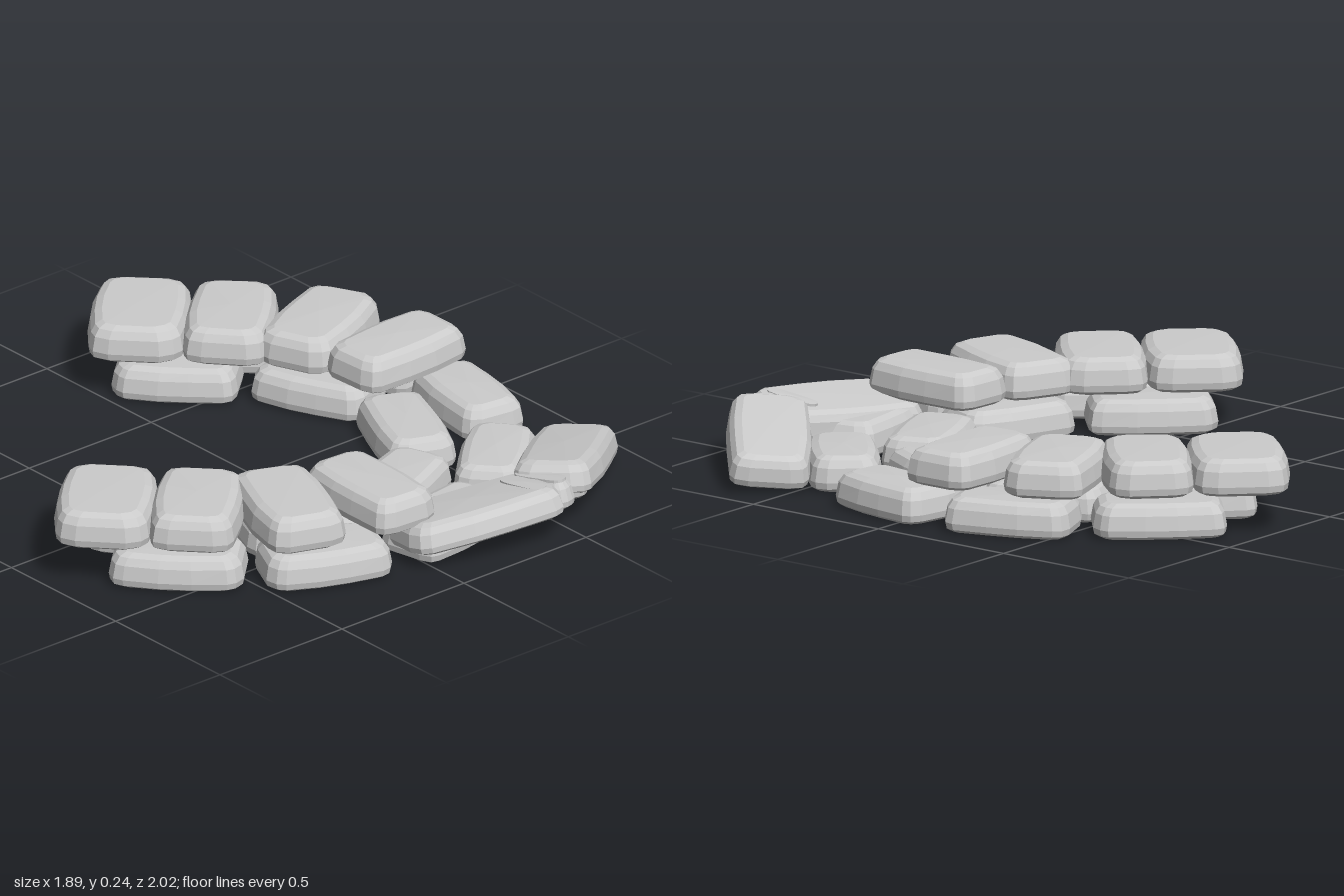
import * as THREE from 'three';

const material = new THREE.MeshStandardMaterial({ color: 0xcccccc, flatShading: true });

function seeded(seed) {
  let s = seed * 7919 + 13;
  return () => (s = (s * 16807) % 2147483647) / 2147483647;
}

// Rounded, slightly barrel-shaped outline of a stone, shrunk by an inset
function outline(l, w, inset, jitter) {
  const a = l / 2 - inset, b = w / 2 - inset, c = Math.min(a, b) * 0.3;
  const quarter = [[a, b * 0.5], [a - c * 0.4, b * 0.8], [a - c * 1.1, b * 0.92], [a * 0.25, b]];
  const mirrored = quarter.map(([x, z]) => [-x, z]).reverse();
  const half = [...quarter, ...mirrored];
  return [...half, ...half.map(([x, z]) => [-x, -z])]
    .map(([x, z], i) => [x * jitter[i], z * jitter[i]]);
}

// Chamfered stone lofted from stacked outlines, centred on its own middle
function stoneGeometry(l, w, h, seed) {
  const rand = seeded(seed);
  const jitter = Array.from({ length: 16 }, () => 0.98 + rand() * 0.035);
  const layers = [[0, 0.022], [0.1, 0.004], [0.28, 0], [0.68, 0.008], [0.88, 0.022], [0.97, 0.045]];
  const pos = [], idx = [], n = 16;
  for (const [t, inset] of layers) {
    for (const [x, z] of outline(l, w, Math.min(inset, w * 0.2, l * 0.2), jitter)) {
      pos.push(x, (t - 0.5) * h, z);
    }
  }
  for (let k = 0; k < layers.length - 1; k++) {
    for (let i = 0; i < n; i++) {
      const a = k * n + i, b = k * n + (i + 1) % n;
      idx.push(a, a + n, b, b, a + n, b + n);
    }
  }
  const bottom = pos.length / 3, top = bottom + 1, last = (layers.length - 1) * n;
  pos.push(0, -h / 2, 0, 0, h / 2, 0);
  for (let i = 0; i < n; i++) {
    const j = (i + 1) % n;
    idx.push(bottom, i, j, top, last + j, last + i);
  }
  const g = new THREE.BufferGeometry();
  g.setAttribute('position', new THREE.Float32BufferAttribute(pos, 3));
  g.setIndex(idx);
  const flat = g.toNonIndexed();
  flat.computeVertexNormals();
  return flat;
}

export function createModel() {
  const model = new THREE.Group();
  let seed = 1;

  function addStone(parent, name, x, y, z, l, w, h, yaw, tilt = 0, roll = 0) {
    const mesh = new THREE.Mesh(stoneGeometry(l, w, h, seed++), material);
    mesh.name = name;
    mesh.position.set(x, y, z);
    mesh.rotation.set(roll, yaw, tilt, 'YZX');
    parent.add(mesh);
  }
  function addCourse(name, y, h, stones) {
    const course = new THREE.Group();
    course.name = name;
    stones.forEach(([x, z, l, w, yaw], i) => addStone(course, name + 'Stone' + (i + 1), x, y, z, l, w, h, yaw));
    model.add(course);
  }

  // Lower course: two rings of stones laid along the curve [x, z, length, width, yaw]
  addCourse('lowerInner', 0.057, 0.114, [
    [0.22, -0.63, 0.40, 0.25, -0.82],
    [0.50, -0.28, 0.40, 0.25, -1.18],
    [0.49, 0.15, 0.41, 0.24, 1.17],
    [0.21, 0.43, 0.41, 0.24, 0.40],
    [-0.18, 0.43, 0.40, 0.25, -0.38],
    [-0.54, 0.15, 0.41, 0.25, -0.82],
  ]);
  addCourse('lowerOuter', 0.057, 0.114, [
    [0.475, -0.70, 0.42, 0.26, -0.82],
    [0.74, -0.33, 0.41, 0.25, -1.20],
    [0.785, 0.10, 0.39, 0.24, 1.38],
    [0.565, 0.49, 0.39, 0.24, 0.72],
    [0.17, 0.71, 0.41, 0.25, 0.18],
    [-0.28, 0.65, 0.41, 0.26, -0.38],
    [-0.64, 0.38, 0.42, 0.26, -0.80],
  ]);

  // Upper course: stones laid across the wall, with a gap at the collapse
  addCourse('upper', 0.184, 0.118, [
    [0.21, -0.80, 0.43, 0.32, 0.77],
    [0.41, -0.60, 0.43, 0.29, 0.76],
    [0.59, -0.385, 0.44, 0.28, 0.41],
    [0.67, -0.11, 0.43, 0.26, 0.05],
    [-0.73, 0.14, 0.43, 0.32, 0.77],
    [-0.53, 0.34, 0.43, 0.29, 0.76],
    [-0.31, 0.52, 0.44, 0.28, 1.20],
    [-0.04, 0.60, 0.43, 0.25, 1.52],
  ]);

  // Fallen slab, snapped in two and leaning on the lower course
  const slab = new THREE.Group();
  slab.name = 'fallenSlab';
  addStone(slab, 'slabLeftPiece', 0.67, 0.112, 0.70, 0.54, 0.27, 0.105, 0.68, -0.19, -0.07);
  addStone(slab, 'slabRightPiece', 0.21, 0.105, 0.80, 0.54, 0.31, 0.10, -0.24, 0.08, -0.17);
  // Crumbled strips along the break
  const strips = [[0.38, 0.85, 0.22, 0.1], [0.45, 0.845, 0.22, 0.25], [0.52, 0.82, 0.22, 0.45]];
  strips.forEach(([x, z, w, yaw], i) =>
    addStone(slab, 'breakStrip' + (i + 1), x, 0.125, z, 0.1, w, 0.1, yaw, 0.04 - i * 0.08, -0.14));
  model.add(slab);

  return model;
}
